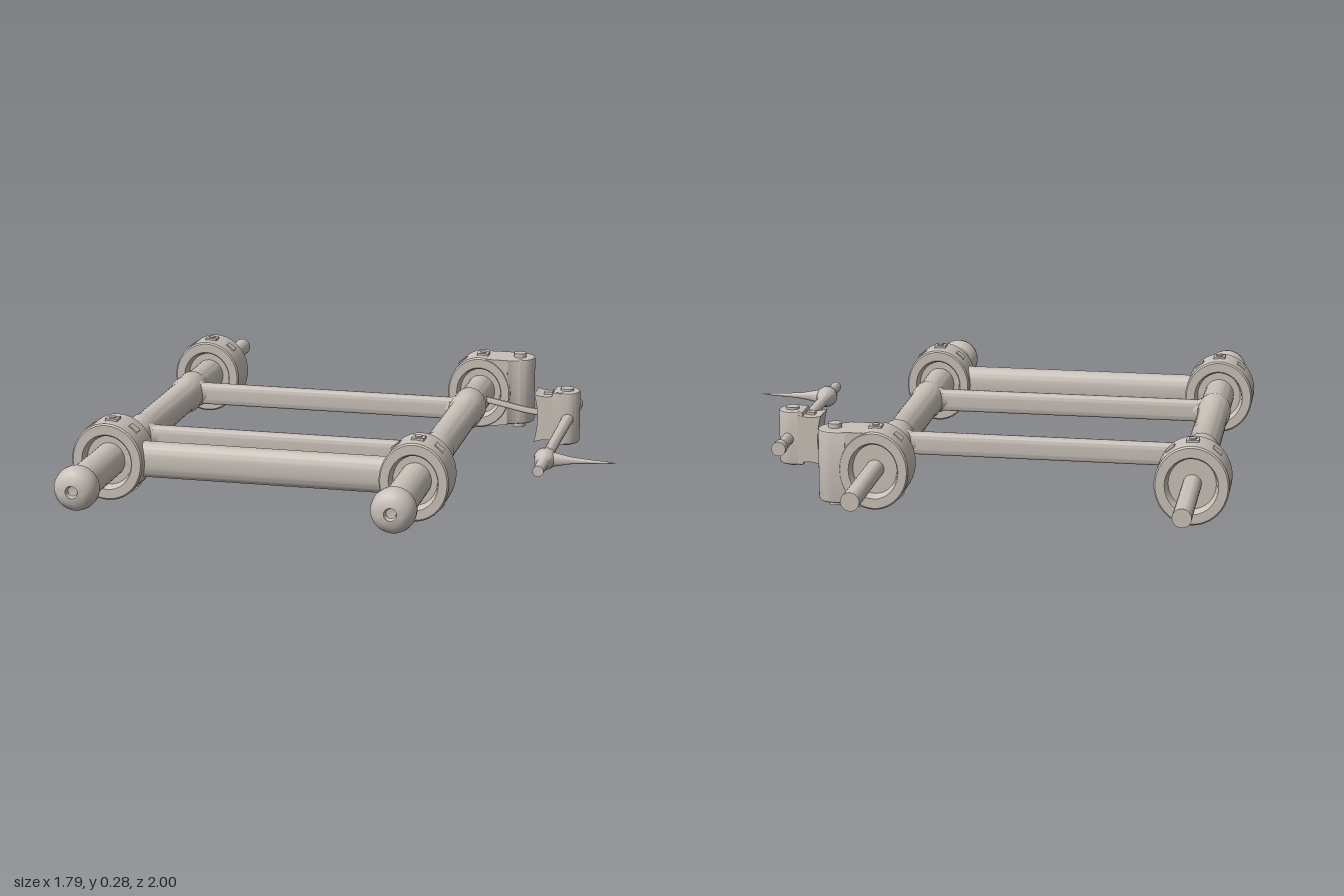
import * as THREE from 'three';
import { toCreasedNormals } from 'three/addons/utils/BufferGeometryUtils.js';

const AXIS_Y = 0.137;

export function createModel() {
  const model = new THREE.Group();
  const stone = new THREE.MeshStandardMaterial({ color: 0xc8c0b8 });
  stone.name = 'light warm grey';

  const add = (name, geometry, x, y, z, parent = model) => {
    const mesh = new THREE.Mesh(toCreasedNormals(geometry, 0.6), stone);
    mesh.name = name;
    mesh.position.set(x, y, z);
    parent.add(mesh);
    return mesh;
  };
  // Turned part along z from [radius, z] pairs
  const turned = (pairs, sides = 32) =>
    new THREE.LatheGeometry(pairs.map(([r, z]) => new THREE.Vector2(r, z)), sides).rotateX(Math.PI / 2);
  // Upright block from an outline in x and -z
  const upright = (shape, y0, y1) => new THREE.ExtrudeGeometry(shape, {
    depth: y1 - y0 - 0.02, bevelThickness: 0.01, bevelSize: 0.006, bevelOffset: -0.006,
    bevelSegments: 2, curveSegments: 16,
  }).rotateX(-Math.PI / 2).translate(0, y0 + 0.01, 0);

  // Slightly oval tube with joint sleeves, a thin rear rod, and a dimpled knob
  const tubeProfile = [
    [0, -0.6], [0.054, -0.6], [0.054, -0.35], [0.061, -0.33], [0.061, -0.235], [0.054, -0.215],
    [0.054, 0.23], [0.059, 0.27], [0.059, 0.32], [0.054, 0.36], [0.055, 0.91], [0, 0.91],
  ];
  const knobProfile = [
    [0, 0.895], [0.055, 0.895], [0.066, 0.915], [0.073, 0.93], [0.074, 0.95], [0.071, 0.967],
    [0.058, 0.987], [0.04, 0.997], [0.021, 1], [0.016, 0.985], [0, 0.982],
  ];
  // Collar with recessed faces
  const collarProfile = [
    [0, -0.04], [0.078, -0.04], [0.084, -0.066], [0.088, -0.07], [0.118, -0.07], [0.123, -0.065],
    [0.123, 0.065], [0.118, 0.07], [0.088, 0.07], [0.084, 0.066], [0.078, 0.04], [0, 0.04],
  ];
  for (const [side, x, width] of [['right', -0.772, 1], ['left', 0.276, 0.95]]) {
    add(side + 'Rail', turned(tubeProfile).scale(1, 1.1, 1), x, AXIS_Y, 0);
    add(side + 'RearRod', turned([[0, -1], [0.031, -1], [0.031, -0.58], [0, -0.58]], 24), x, AXIS_Y, 0);
    add(side + 'Knob', turned(knobProfile), x, AXIS_Y, 0);
    for (const [end, z] of [['Front', 0.582], ['Rear', -0.58]]) {
      const collar = new THREE.Group();
      collar.name = side + end + 'Collar';
      collar.position.set(x, AXIS_Y, z);
      model.add(collar);
      add('collarRing', turned(collarProfile, 40).scale(width, 1.08, 1), 0, 0, 0, collar);
      // Square top stud with a small pin, and low studs on the shoulders
      add('topStud', new THREE.BoxGeometry(0.042, 0.03, 0.042), 0.004, 0.124, 0.006, collar);
      add('studPin', new THREE.CylinderGeometry(0.012, 0.012, 0.01, 12), 0.004, 0.138, 0.006, collar);
      for (const angle of [52, 128, 232, 308]) {
        const a = THREE.MathUtils.degToRad(angle);
        const stud = add('shoulderStud', new THREE.BoxGeometry(0.02, 0.035, 0.035),
          Math.cos(a) * 0.117 * width, Math.sin(a) * 0.125, 0, collar);
        stud.rotation.z = a;
      }
    }
  }

  // Cross bars with rounded-square sections: one stout, two slim
  const bar = (name, z, ry, rz, roundness) => {
    const points = [];
    for (let i = 0; i < 40; i++) {
      const c = Math.cos(i * Math.PI / 20), s = Math.sin(i * Math.PI / 20);
      points.push(new THREE.Vector2(
        Math.sign(c) * Math.abs(c) ** roundness * rz,
        Math.sign(s) * Math.abs(s) ** roundness * ry));
    }
    const g = new THREE.ExtrudeGeometry(new THREE.Shape(points), { depth: 1.05, bevelEnabled: false })
      .translate(0, 0, -0.525).rotateY(Math.PI / 2);
    add(name, g, -0.25, AXIS_Y, z);
  };
  bar('frontCrossBar', 0.582, 0.061, 0.041, 0.8);
  for (const [name, z] of [['middle', 0.31], ['rear', -0.28]]) {
    bar(name + 'CrossBar', z, 0.038, 0.025, 0.45);
    // Flared joints where the bar meets each rail
    for (const [x, s] of [[-0.71, 1], [0.214, -1]]) {
      const flare = new THREE.CylinderGeometry(0.024, 0.04, 0.035, 16, 1, true)
        .rotateZ(-s * Math.PI / 2).scale(1, 1.2, 1);
      add(name + 'BarFlare', flare, x, AXIS_Y, z);
    }
  }

  // Lug beside the left rear collar: a shoulder around the ring, then a rounded end with a pin
  const shoulder = new THREE.Shape();
  shoulder.moveTo(0, 0.128);
  shoulder.lineTo(0.105, 0.128);
  shoulder.lineTo(0.105, -0.118);
  shoulder.lineTo(0, -0.128);
  shoulder.lineTo(0, -0.1);
  shoulder.absarc(0, 0, 0.1, -Math.PI / 2, Math.PI / 2, false);
  shoulder.closePath();
  add('lugShoulder', new THREE.ExtrudeGeometry(shoulder, { depth: 0.136, bevelEnabled: false, curveSegments: 24 }),
    0.276, AXIS_Y, -0.648);
  const lug = new THREE.Shape();
  lug.moveTo(0.37, 0.512);
  lug.lineTo(0.385, 0.513);
  lug.quadraticCurveTo(0.4, 0.526, 0.425, 0.53);
  lug.absarc(0.412, 0.589, 0.06, -Math.PI / 2 + 0.2, Math.PI / 2, false);
  lug.lineTo(0.37, 0.649);
  lug.closePath();
  add('rearLug', upright(lug, 0.02, 0.265), 0, 0, 0);
  add('lugPin', new THREE.CylinderGeometry(0.023, 0.023, 0.28, 16), 0.417, 0.14, -0.583);

  // Thin curved link from the rail to the clamp
  const linkPath = new THREE.CatmullRomCurve3([
    [0.27, -0.42], [0.34, -0.385], [0.41, -0.34], [0.48, -0.293], [0.55, -0.262],
  ].map(([x, z]) => new THREE.Vector3(x, 0, z)));
  add('link', new THREE.TubeGeometry(linkPath, 24, 0.0055, 10).scale(1, 2.3, 1), 0, 0.145, 0);

  // Clamp with a waisted socket and a rounded end
  const socket = new THREE.Shape();
  socket.moveTo(0.527, 0.048);
  socket.quadraticCurveTo(0.552, 0.14, 0.527, 0.225);
  socket.quadraticCurveTo(0.56, 0.21, 0.61, 0.225);
  socket.lineTo(0.61, 0.055);
  socket.quadraticCurveTo(0.56, 0.065, 0.527, 0.048);
  add('clampSocket', new THREE.ExtrudeGeometry(socket, { depth: 0.1, bevelEnabled: false }), 0.004, 0, -0.311);
  const jaw = new THREE.Shape();
  jaw.moveTo(0.595, 0.21);
  jaw.lineTo(0.64, 0.21);
  jaw.absarc(0.639, 0.26, 0.05, -Math.PI / 2, Math.PI / 2, false);
  jaw.lineTo(0.595, 0.31);
  jaw.closePath();
  add('clampJaw', upright(jaw, 0.045, 0.235), 0, 0, 0);
  add('clampPin', new THREE.CylinderGeometry(0.024, 0.024, 0.205, 16), 0.642, 0.14, -0.26);
  add('clampStud', new THREE.BoxGeometry(0.03, 0.02, 0.03), 0.576, 0.217, -0.26);

  // Side rod with a bulb, and a spike pointing outward
  add('sideRod', turned([
    [0, -0.44], [0.025, -0.44], [0.025, -0.405], [0.021, -0.395], [0.021, -0.2], [0.019, 0],
    [0.019, 0.195], [0.023, 0.225], [0.034, 0.26], [0.038, 0.285], [0.033, 0.31],
    [0.02, 0.33], [0.019, 0.433], [0, 0.433],
  ], 20), 0.65, AXIS_Y, 0);
  add('spike', new THREE.LatheGeometry([
    [0.028, 0.665], [0.02, 0.7], [0.012, 0.74], [0.007, 0.8], [0.004, 0.86], [0, 0.897],
  ].map(([r, y]) => new THREE.Vector2(r, y)), 14).rotateZ(-Math.PI / 2), 0, AXIS_Y, 0.284);

  return model;
}
